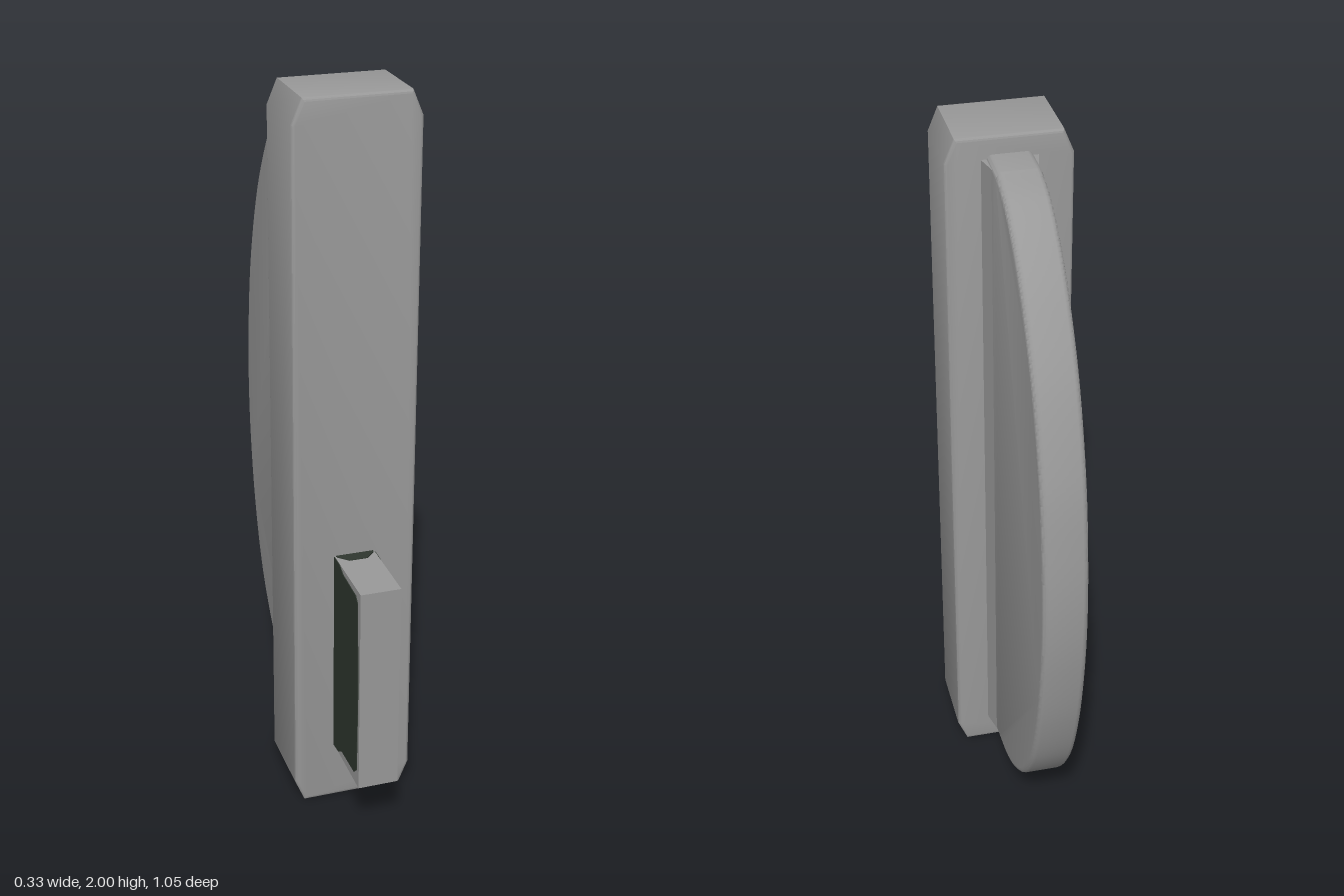
import * as THREE from 'three';
import { toCreasedNormals } from 'three/addons/utils/BufferGeometryUtils.js';

const shapeFrom = (pts) => new THREE.Shape(pts.map(([x, y]) => new THREE.Vector2(x, y)));

// Bevelled extrusion, centred on its depth; the outline is the outer size
function slab(shape, depth, bevel, segments = 3) {
  const g = new THREE.ExtrudeGeometry(shape, {
    depth: depth - 2 * bevel, bevelEnabled: bevel > 0, bevelThickness: bevel,
    bevelSize: bevel, bevelOffset: -bevel, bevelSegments: segments, curveSegments: 48,
  });
  g.translate(0, 0, -depth / 2 + bevel);
  return toCreasedNormals(g, 0.6);
}

export function createModel() {
  const grey = new THREE.MeshStandardMaterial({ color: 0x999999 });
  grey.name = 'grey';
  const dark = new THREE.MeshStandardMaterial({ color: 0x2f372f });
  dark.name = 'darkGreen';

  const model = new THREE.Group();
  model.name = 'model';
  const add = (name, geometry, material, parent = model) => {
    const mesh = new THREE.Mesh(geometry, material);
    mesh.name = name;
    parent.add(mesh);
    return mesh;
  };

  // Upright bar with cut corners
  const bar = slab(shapeFrom([
    [-0.14, 0], [0.14, 0], [0.167, 0.065], [0.167, 1.935],
    [0.14, 2], [-0.14, 2], [-0.167, 1.935], [-0.167, 0.065],
  ]), 0.22, 0.009);
  bar.translate(0, 0, 0.207);
  add('bar', bar, grey);

  // Rounded fin at the back, drawn as (-z, y)
  const outline = new THREE.Shape();
  outline.moveTo(-0.12, 0.067);
  outline.lineTo(0, 0.074);
  outline.splineThru([
    [0.1, 0.09], [0.2, 0.135], [0.3, 0.215], [0.4, 0.36], [0.47, 0.55], [0.51, 0.76],
    [0.522, 0.95], [0.51, 1.14], [0.475, 1.34], [0.4, 1.555], [0.3, 1.725],
    [0.2, 1.84], [0.1, 1.915], [0, 1.95],
  ].map(([x, y]) => new THREE.Vector2(x, y)));
  outline.lineTo(-0.12, 1.952);
  const fin = slab(outline, 0.12, 0.015);
  fin.rotateY(Math.PI / 2);
  add('fin', fin, grey);

  // Flared foot where the fin meets the bar, drawn as (x, z)
  const foot = slab(shapeFrom([
    [-0.058, 0.03], [0.058, 0.03], [0.077, 0.11], [-0.077, 0.11],
  ]), 1.86, 0);
  foot.rotateX(Math.PI / 2);
  foot.translate(0, 1.01, 0);
  add('finFoot', foot, grey);

  // Flat handle on the front
  const handle = new THREE.Group();
  handle.name = 'handle';
  model.add(handle);
  const block = new THREE.BoxGeometry(0.11, 0.595, 0.24);
  block.translate(0, 0.4675, 0.41);
  add('handleBlock', block, grey, handle);

  // Dark inlays on both sides, drawn as (-z, y)
  const side = shapeFrom([
    [-0.315, 0.17], [-0.36, 0.175], [-0.39, 0.195], [-0.495, 0.2], [-0.515, 0.22],
    [-0.52, 0.47], [-0.51, 0.73], [-0.495, 0.745], [-0.39, 0.75], [-0.36, 0.764],
    [-0.315, 0.764],
  ]);
  for (const s of [-1, 1]) {
    const plate = slab(side, 0.004, 0);
    plate.rotateY(Math.PI / 2);
    plate.translate(s * 0.055, 0, 0);
    add(s > 0 ? 'leftInlay' : 'rightInlay', plate, dark, handle);
  }

  // Dark inlays on the top and bottom, drawn as (x, z)
  const end = shapeFrom([
    [-0.054, 0.31], [0.054, 0.31], [0.05, 0.325], [0.025, 0.35], [-0.025, 0.35], [-0.05, 0.325],
  ]);
  for (const y of [0.17, 0.765]) {
    const plate = slab(end, 0.004, 0);
    plate.rotateX(Math.PI / 2);
    plate.translate(0, y, 0);
    add(y > 0.5 ? 'topInlay' : 'bottomInlay', plate, dark, handle);
  }

  return model;
}
